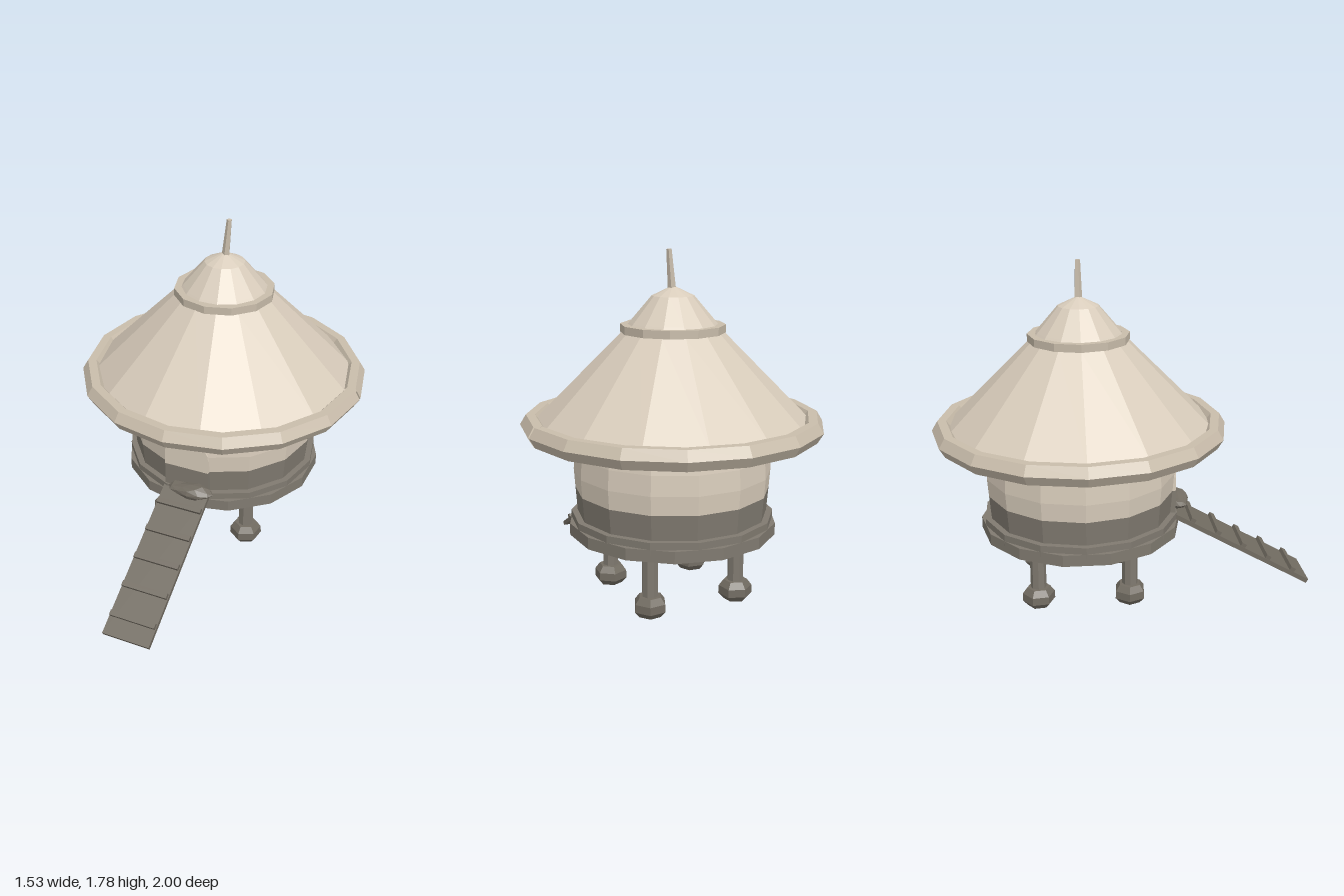
import * as THREE from 'three';

const AXIS_Z = -0.235;

function makeMaterial(name, color, side = THREE.FrontSide) {
  const m = new THREE.MeshStandardMaterial({ color, flatShading: true, side });
  m.name = name;
  return m;
}

export function createModel() {
  const thatch = makeMaterial('thatch and plaster', 0xd8ccbb, THREE.DoubleSide);
  const rimMat = makeMaterial('rim', 0xc9bdab, THREE.DoubleSide);
  const stone = makeMaterial('stone base', 0x807a70);
  const wood = makeMaterial('wood', 0x726c62);

  const model = new THREE.Group();
  const hut = new THREE.Group();
  hut.name = 'hut';
  hut.position.z = AXIS_Z;
  model.add(hut);

  const add = (parent, name, geometry, material, x = 0, y = 0, z = 0) => {
    const mesh = new THREE.Mesh(geometry, material);
    mesh.name = name;
    mesh.position.set(x, y, z);
    parent.add(mesh);
    return mesh;
  };
  const lathe = (points, sides, start = Math.PI / 2, length = Math.PI * 2) =>
    new THREE.LatheGeometry(points.map(p => new THREE.Vector2(...p)), sides, start, length);

  // Roof cone with its rounded tip
  add(hut, 'roof', lathe([[0.685, 0.935], [0.255, 1.37], [0.215, 1.42], [0.105, 1.55], [0, 1.6]], 14), thatch);
  // Thick rim with a small seam on the left side
  add(hut, 'roofRim', lathe([[0.65, 0.91], [0.685, 0.86], [0.735, 0.86], [0.765, 0.91],
    [0.735, 0.96], [0.69, 0.96], [0.65, 0.91]], 16, Math.PI / 2 + 0.01, Math.PI * 2 - 0.02), rimMat);
  // Binding band near the tip
  add(hut, 'roofBand', lathe([[0.22, 1.37], [0.262, 1.37], [0.262, 1.41], [0.22, 1.41], [0.22, 1.37]], 12), rimMat);
  // Leaning pole on top
  const pole = add(hut, 'topPole', new THREE.CylinderGeometry(0.014, 0.022, 0.21, 5), rimMat, 0.013, 1.672, 0);
  pole.rotation.z = -0.09;

  // Bulging wall: dark lower course, light plaster above
  add(hut, 'lowerWall', lathe([[0.478, 0.4], [0.485, 0.45], [0.495, 0.575]], 14), stone);
  add(hut, 'upperWall', lathe([[0.495, 0.575], [0.502, 0.67], [0.496, 0.77], [0.481, 0.87], [0.455, 1.1]], 14), thatch);

  // Floor platform in two layers
  add(hut, 'platform', new THREE.CylinderGeometry(0.53, 0.53, 0.06, 14), stone, 0, 0.385, 0);
  const course = new THREE.CylinderGeometry(0.517, 0.517, 0.06, 14);
  course.rotateY(Math.PI / 2);
  add(hut, 'platformRing', course, stone, 0, 0.42, 0);

  // Arched door, lower part dark
  const arch = new THREE.Shape();
  arch.moveTo(-0.123, 0.575);
  arch.lineTo(0.123, 0.575);
  arch.lineTo(0.123, 0.65);
  arch.bezierCurveTo(0.123, 0.715, 0.07, 0.752, 0, 0.752);
  arch.bezierCurveTo(-0.07, 0.752, -0.123, 0.715, -0.123, 0.65);
  const archGeo = new THREE.ExtrudeGeometry(arch, { depth: 0.06, bevelEnabled: false, curveSegments: 6 });
  add(hut, 'doorTop', archGeo, thatch, 0, 0, 0.435);
  add(hut, 'doorBottom', new THREE.BoxGeometry(0.246, 0.155, 0.06), stone, 0, 0.4975, 0.465);

  // Four stilts on chunky feet
  for (const sx of [-1, 1]) for (const sz of [-1, 1]) {
    const leg = new THREE.Group();
    leg.name = 'leg';
    leg.position.set(sx * 0.242, 0, sz * 0.24);
    add(leg, 'stilt', new THREE.CylinderGeometry(0.041, 0.041, 0.3, 8), stone, 0, 0.22, 0);
    const foot = add(leg, 'foot', lathe([[0, 0.01], [0.06, 0.01], [0.086, 0.04], [0.084, 0.08],
      [0.06, 0.112], [0, 0.115]], 6), wood);
    foot.rotation.y = sx * 0.25 + sz * 0.15;
    hut.add(leg);
  }

  // Sloping ramp with cross slats
  const ramp = new THREE.Group();
  ramp.name = 'ramp';
  const slope = Math.atan2(0.43, 0.76);
  ramp.position.set(0, 0.225, 0.62);
  ramp.rotation.x = slope;
  add(ramp, 'rampBoard', new THREE.BoxGeometry(0.258, 0.024, 0.865), wood);
  for (let i = 0; i < 5; i++) {
    add(ramp, 'slat', new THREE.BoxGeometry(0.25, 0.022, 0.028), wood, 0, 0.022, 0.325 - i * 0.16);
  }
  model.add(ramp);

  // Lumpy sack lying at the doorstep
  const sackGeo = new THREE.IcosahedronGeometry(1, 1);
  const p = sackGeo.attributes.position;
  for (let i = 0; i < p.count; i++) {
    const x = p.getX(i), y = p.getY(i), z = p.getZ(i);
    p.setXYZ(i, x * 0.125, y * 0.034 * (1 + 0.3 * Math.sin(4 * x + 2 * z)), z * 0.06 * (1 + 0.15 * Math.sin(5 * x)));
  }
  sackGeo.computeVertexNormals();
  add(model, 'sack', sackGeo, wood, 0.037, 0.467, 0.29);

  return model;
}
